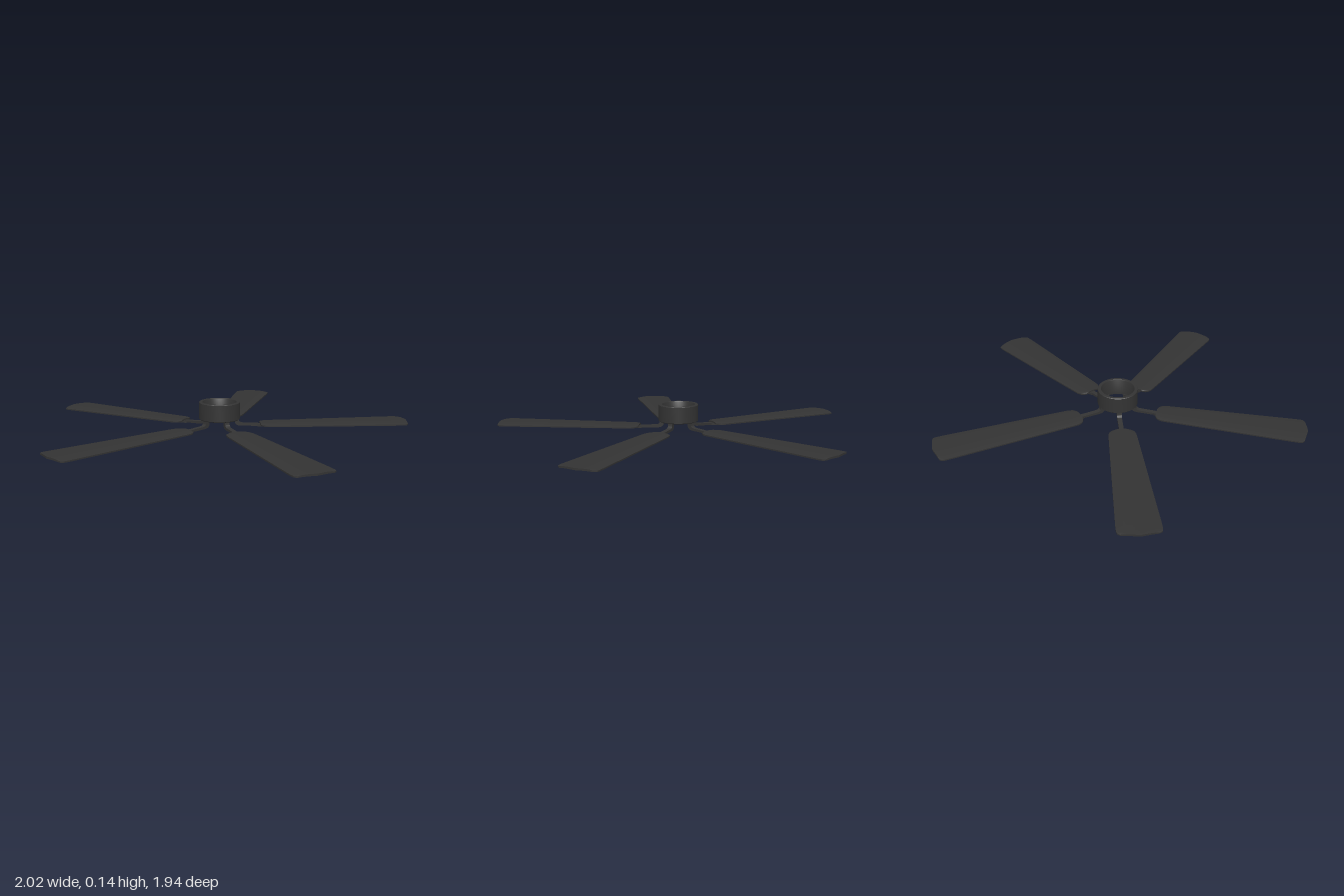
import * as THREE from 'three';
import { toCreasedNormals } from 'three/addons/utils/BufferGeometryUtils.js';

const BLADES = 5;
const HUB_Z = 0.085;

// Tapered, gently cambered blade pointing along -z from the hub axis
function bladeGeometry() {
  // [radius, half width] from root to tip
  const rows = [
    [0.224, 0.04], [0.23, 0.054], [0.243, 0.067], [0.265, 0.075], [0.3, 0.077],
    [0.5, 0.086], [0.75, 0.097], [0.98, 0.107], [1.01, 0.107], [1.024, 0.104], [1.034, 0.09],
  ];
  const n = rows.length - 1;
  const geo = new THREE.BoxGeometry(2, 1, n, 12, 1, n);
  const p = geo.attributes.position;
  for (let k = 0; k < p.count; k++) {
    const v = p.getX(k);
    const i = Math.round(n / 2 - p.getZ(k));
    const [r, half] = rows[i];
    const tip = i >= n - 3 ? 0.016 * (1 - Math.abs(v)) * (i - n + 4) / 4 : 0;
    const camber = 0.006 * (1 - v ** 4);
    const y = p.getY(k) > 0 ? 0.015 + camber : 0.008 + camber * 0.5;
    p.setXYZ(k, v * half, y, -(r + tip));
  }
  return toCreasedNormals(geo, 0.6);
}

// Flat strap that drops from the hub and bends outwards beneath the blade
function armGeometry() {
  const s = new THREE.Shape();
  s.moveTo(0.083, 0.05);
  s.lineTo(0.083, 0.03);
  s.quadraticCurveTo(0.085, 0.008, 0.115, 0.006);
  s.lineTo(0.24, 0.002);
  s.lineTo(0.24, 0.013);
  s.lineTo(0.13, 0.019);
  s.quadraticCurveTo(0.108, 0.021, 0.107, 0.035);
  s.lineTo(0.107, 0.05);
  s.closePath();
  const geo = new THREE.ExtrudeGeometry(s, { depth: 0.026, bevelEnabled: false, curveSegments: 8 });
  geo.translate(0, 0, -0.013);
  geo.rotateY(Math.PI / 2);
  return toCreasedNormals(geo, 0.6);
}

// Mounting plate with a rounded outer end, under the blade root
function plateGeometry() {
  const s = new THREE.Shape();
  s.moveTo(-0.013, 0.21);
  s.lineTo(0.013, 0.21);
  s.lineTo(0.024, 0.24);
  s.lineTo(0.024, 0.31);
  s.absarc(0, 0.31, 0.024, 0, Math.PI, false);
  s.lineTo(-0.024, 0.24);
  s.closePath();
  const geo = new THREE.ExtrudeGeometry(s, { depth: 0.011, bevelEnabled: false, curveSegments: 10 });
  geo.rotateX(-Math.PI / 2);
  return geo;
}

export function createModel() {
  const model = new THREE.Group();
  model.name = 'ceilingFan';
  const dark = new THREE.MeshStandardMaterial({ color: 0x333333 });
  const add = (parent, name, geo) => {
    const mesh = new THREE.Mesh(geo, dark);
    mesh.name = name;
    parent.add(mesh);
    return mesh;
  };

  // Open ring housing with softened rims
  const profile = [
    [0.092, 0.045], [0.108, 0.045], [0.112, 0.049], [0.112, 0.138],
    [0.109, 0.141], [0.094, 0.141], [0.092, 0.138], [0.092, 0.045],
  ].map(([r, y]) => new THREE.Vector2(r, y));
  const hub = add(model, 'hubHousing', toCreasedNormals(new THREE.LatheGeometry(profile, 48), 0.6));
  hub.position.z = HUB_Z;

  // Five blades with their arms and plates
  const blade = bladeGeometry();
  const arm = armGeometry();
  const plate = plateGeometry();
  for (let i = 0; i < BLADES; i++) {
    const unit = new THREE.Group();
    unit.name = `bladeUnit${i + 1}`;
    unit.position.z = HUB_Z;
    unit.rotation.y = (i * Math.PI * 2) / BLADES;
    add(unit, 'blade', blade);
    add(unit, 'bladeArm', arm);
    add(unit, 'mountingPlate', plate);
    model.add(unit);
  }
  return model;
}
